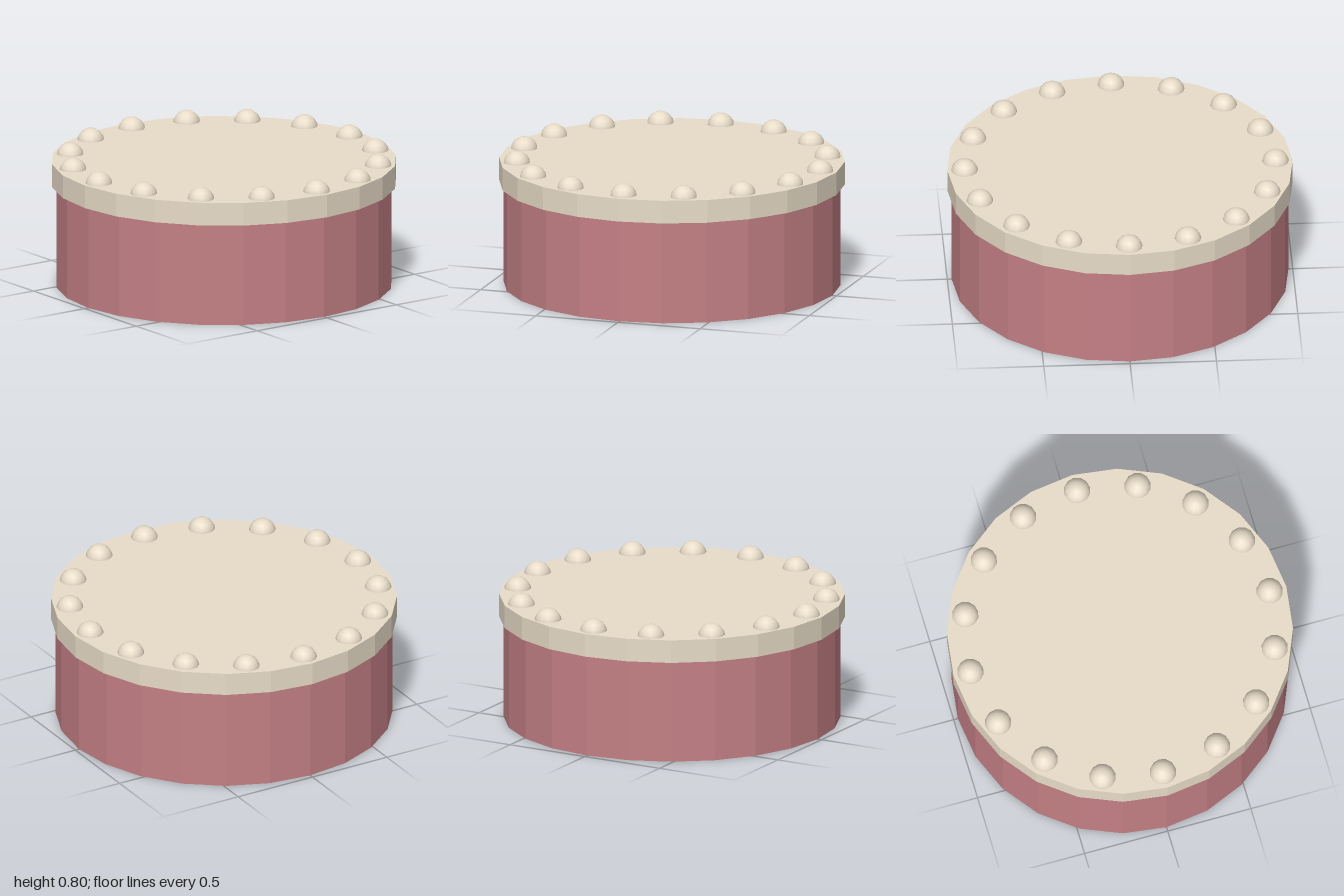
import * as THREE from 'three';

const SIDES = 24;
const STUDS = 16;

export function createModel() {
  const model = new THREE.Group();
  const bodyMaterial = new THREE.MeshStandardMaterial({ color: 0xc48085, flatShading: true });
  const lidMaterial = new THREE.MeshStandardMaterial({ color: 0xe8dcc8, flatShading: true });
  const studMaterial = new THREE.MeshStandardMaterial({ color: 0xe8dcc8 });

  // A faceted solid drum standing between two heights
  const drum = (name, radius, bottom, top, material) => {
    const mesh = new THREE.Mesh(
      new THREE.CylinderGeometry(radius, radius, top - bottom, SIDES), material);
    mesh.name = name;
    mesh.position.y = (bottom + top) / 2;
    model.add(mesh);
  };
  drum('body', 0.975, 0, 0.6, bodyMaterial);
  drum('lid', 1, 0.6, 0.735, lidMaterial);

  // Ring of round studs half sunk into the lid
  const studs = new THREE.Group();
  studs.name = 'studs';
  const studGeometry = new THREE.SphereGeometry(0.08, 12, 8);
  for (let i = 0; i < STUDS; i++) {
    const angle = (i / STUDS) * Math.PI * 2;
    const stud = new THREE.Mesh(studGeometry, studMaterial);
    stud.name = 'stud';
    stud.position.set(Math.cos(angle) * 0.9, 0.723, Math.sin(angle) * 0.9);
    studs.add(stud);
  }
  model.add(studs);

  return model;
}
